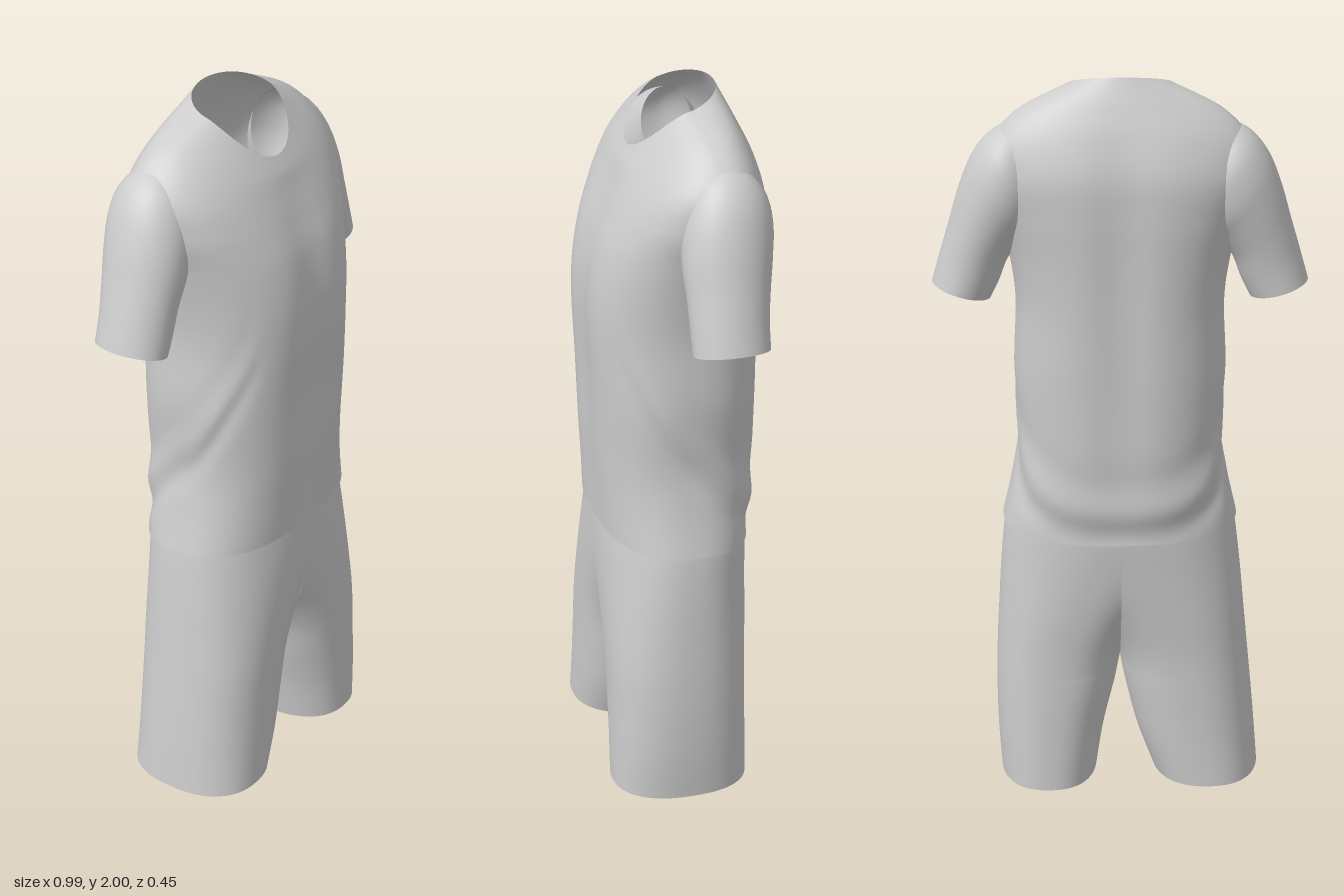
import * as THREE from 'three';

const fabric = new THREE.MeshStandardMaterial({ color: 0xcccccc, side: THREE.DoubleSide });
fabric.name = 'light grey fabric';

const { sin, cos, acos, abs, sign, exp, min, max, PI, pow } = Math;
const spow = (v, n) => sign(v) * pow(abs(v), n);
const bump = (d, w) => exp(-(d * d) / (w * w));

// Smoothly interpolates a table of key rows at u in 0..1
function sampleRows(rows, u) {
  const f = u * (rows.length - 1);
  const i = min(Math.floor(f), rows.length - 2);
  const t = f - i;
  const at = (k) => rows[max(0, min(rows.length - 1, k))];
  return rows[0].map((_, c) => {
    const a = at(i - 1)[c], b = at(i)[c], d = at(i + 1)[c], e = at(i + 2)[c];
    return b + 0.5 * t * (d - a + t * (2 * a - 5 * b + 4 * d - e + t * (3 * (b - d) + e - a)));
  });
}

// Open-ended surface through rings; point(row, v, u) with v in 0..1 around the ring
function loft(name, rows, nu, nv, closed, point) {
  const pos = [], index = [];
  for (let i = 0; i <= nu; i++) {
    const r = sampleRows(rows, i / nu);
    for (let j = 0; j < nv; j++) pos.push(...point(r, j / (closed ? nv : nv - 1), i / nu));
  }
  for (let i = 0; i < nu; i++) {
    for (let j = 0; j < (closed ? nv : nv - 1); j++) {
      const a = i * nv + j, b = i * nv + ((j + 1) % nv), c = a + nv, d = b + nv;
      index.push(a, c, b, b, c, d);
    }
  }
  const g = new THREE.BufferGeometry();
  g.setAttribute('position', new THREE.Float32BufferAttribute(pos, 3));
  g.setIndex(index);
  g.computeVertexNormals();
  const mesh = new THREE.Mesh(g, fabric);
  mesh.name = name;
  return mesh;
}

// Shirt body rings: half width, z front, z side, z back, y front, y side, y back
const BODY = [
  [0.320, 0.207, 0.00, -0.204, 0.785, 0.775, 0.745],
  [0.292, 0.214, 0.00, -0.222, 0.90, 0.90, 0.87],
  [0.278, 0.222, 0.00, -0.227, 1.02, 1.02, 1.01],
  [0.285, 0.227, 0.00, -0.230, 1.20, 1.20, 1.20],
  [0.278, 0.236, -0.01, -0.232, 1.38, 1.38, 1.38],
  [0.290, 0.231, -0.03, -0.234, 1.50, 1.50, 1.52],
  [0.316, 0.208, -0.055, -0.235, 1.61, 1.62, 1.64],
  [0.345, 0.172, -0.07, -0.229, 1.70, 1.72, 1.75],
  [0.342, 0.143, -0.075, -0.200, 1.765, 1.82, 1.85],
  [0.265, 0.123, -0.065, -0.164, 1.81, 1.908, 1.93],
  [0.135, 0.100, -0.03, -0.130, 1.85, 1.968, 2.00],
];

function bodyPoint([w, zf, zs, zb, yf, ys, yb], v, u) {
  const a = v * 2 * PI, s = sin(a), c = cos(a);
  const n = 0.82 + max(0, u - 0.7) * 0.6;
  const x = w * spow(c, n), sz = spow(s, n);
  const y = s > 0 ? ys + (yf - ys) * pow(s, 1.5) : ys + (ys - yb) * s;
  let z = zs + (s > 0 ? zf - zs : zs - zb) * sz;
  // Shallow hollows along breastbone and spine
  z *= 1 - 0.07 * bump(x, 0.075) * sin(PI * min(1, u * 1.1));
  // Draped folds sweeping from the chest down to the lower back
  const phi = abs(((a + 1.5 * PI) % (2 * PI)) - PI);
  const fade = max(0, min(1, (2.5 - phi) * 1.5)) * min(1, u * 14);
  const d = y - (0.83 + 0.1 * phi * phi);
  const k = fade * (0.02 * bump(d, 0.04) - 0.06 * bump(d + 0.075, 0.045) - 0.02 * bump(d - 0.09, 0.05));
  return [x * (1 + k * 0.4), y, z * (1 + k)];
}

// Sleeve rings: outer x, y, inner x, y, z centre, z half depth
const SLEEVE = [
  [0.497, 1.450, 0.342, 1.405, -0.055, 0.100],
  [0.474, 1.530, 0.318, 1.455, -0.056, 0.102],
  [0.450, 1.610, 0.297, 1.510, -0.060, 0.107],
  [0.419, 1.715, 0.265, 1.560, -0.066, 0.116],
  [0.382, 1.800, 0.235, 1.600, -0.074, 0.119],
  [0.330, 1.858, 0.215, 1.660, -0.078, 0.108],
  [0.250, 1.893, 0.200, 1.710, -0.075, 0.070],
];

function sleevePoint(side, [ox, oy, ix, iy, zc, d], v) {
  const a = v * 2 * PI, t = 0.5 + 0.5 * cos(a);
  return [side * (ix + (ox - ix) * t), iy + (oy - iy) * t, zc + d * sin(a)];
}

// Leg rings from waist to hem: outer x, inner x, z front, z back, y.
// A negative inner x means the two legs merge at the centre seam.
const leg = (outer, inner, hem) => [
  [0.298, -0.298, 0.195, -0.195, 0.84],
  [0.315, -0.300, 0.203, -0.200, 0.765],
  [outer[0], -0.190, 0.207, -0.190, 0.63],
  [outer[1], -0.075, 0.208, -0.180, 0.50],
  [outer[2], -0.014, 0.209, -0.173, 0.39],
  [outer[3], 0.014, 0.209, -0.172, 0.27],
  [outer[4], inner[0], 0.210, -0.172, 0.14],
  [outer[5], inner[1], 0.211, -0.174, hem],
];

function legPoint(side, [xo, xi, zf, zb, y], v, u) {
  const n = 0.85, mid = max(0, (xo + xi) / 2), r = xo - mid;
  // The oval is cut off where it meets the centre seam
  const reach = acos(-min(1, pow(mid / r, 1 / n)));
  const a = (v * 2 - 1) * reach;
  const lift = max(0, u - 0.85) * 0.06 * sin(a);
  return [side * max(0, mid + r * spow(cos(a), n)), y + lift, (zf + zb) / 2 + ((zf - zb) / 2) * spow(sin(a), n)];
}

export function createModel() {
  const shirt = new THREE.Group();
  shirt.name = 'shirt';
  shirt.add(loft('shirtBody', BODY, 90, 96, true, bodyPoint));

  const shorts = new THREE.Group();
  shorts.name = 'shorts';
  const legs = {
    left: leg([0.328, 0.336, 0.342, 0.345, 0.343, 0.335], [0.045, 0.066], 0.010),
    right: leg([0.332, 0.345, 0.356, 0.368, 0.380, 0.390], [0.046, 0.092], 0.016),
  };

  for (const [name, side] of [['left', 1], ['right', -1]]) {
    shirt.add(loft(name + 'Sleeve', SLEEVE, 30, 40, true, (r, v) => sleevePoint(side, r, v)));
    shorts.add(loft(name + 'Leg', legs[name], 64, 65, false, (r, v, u) => legPoint(side, r, v, u)));
  }

  const model = new THREE.Group();
  model.name = 'sportsOutfit';
  model.add(shirt, shorts);
  return model;
}
